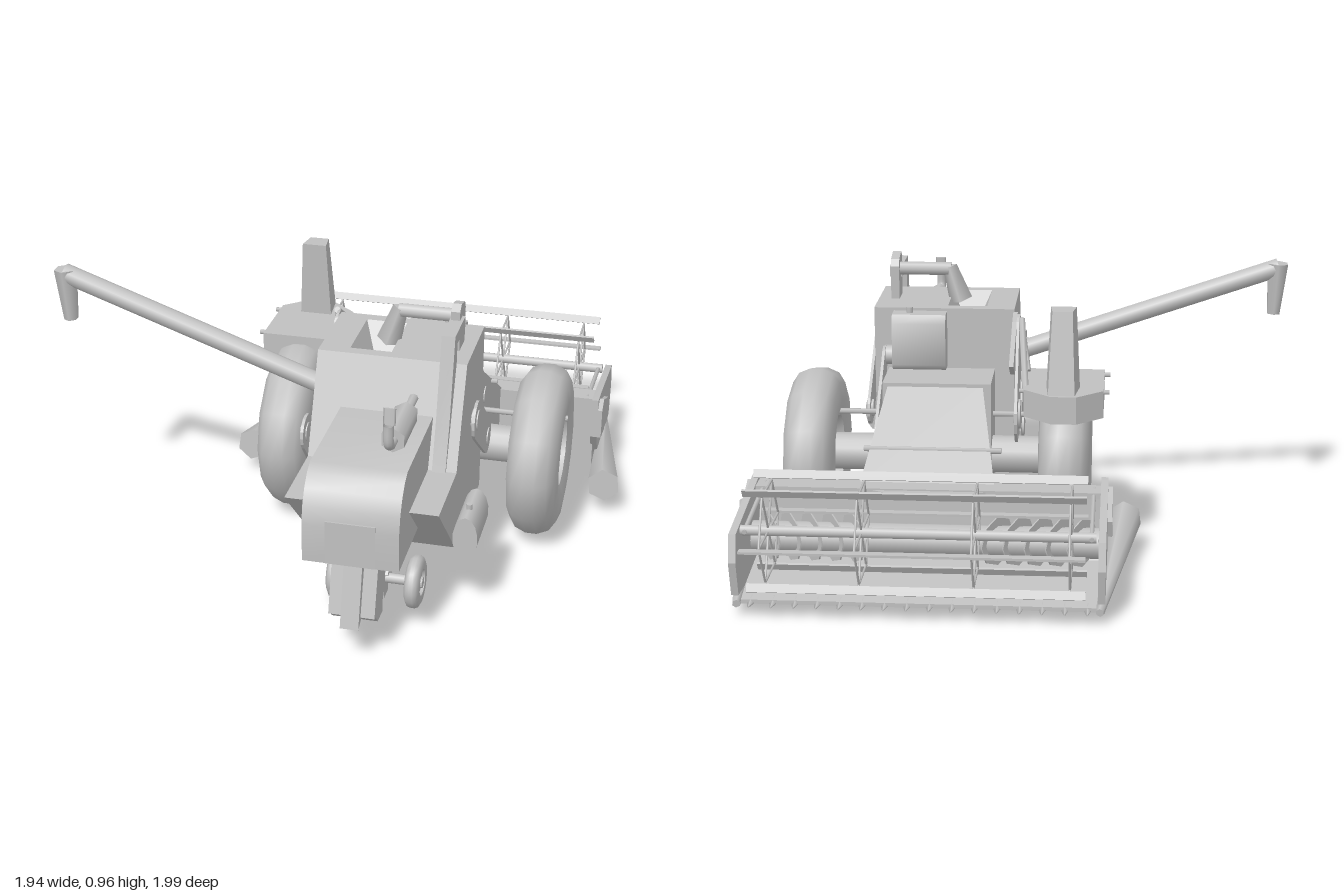
import * as THREE from 'three';
import { toCreasedNormals } from 'three/addons/utils/BufferGeometryUtils.js';

const V = (x, y, z) => new THREE.Vector3(x, y, z);
const MID = 0.255; // centre plane of the header

export function createModel() {
  const root = new THREE.Group();
  const grey = new THREE.MeshStandardMaterial({ color: 0xc0c0c0, side: THREE.DoubleSide });
  grey.name = 'light grey';

  const add = (name, geo, parent = root) => {
    const m = new THREE.Mesh(geo, grey);
    m.name = name;
    parent.add(m);
    return m;
  };
  const box = (name, x0, x1, y0, y1, z0, z1, parent) => {
    const m = add(name, new THREE.BoxGeometry(x1 - x0, y1 - y0, z1 - z0), parent);
    m.position.set((x0 + x1) / 2, (y0 + y1) / 2, (z0 + z1) / 2);
    return m;
  };
  const shapeOf = (pts) => new THREE.Shape(pts.map((p) => new THREE.Vector2(p[0], p[1])));
  // Side profile of [z, y] points, extruded from x0 to x1
  const side = (name, pts, x0, x1, crease = 0.1) => {
    const g = new THREE.ExtrudeGeometry(shapeOf(pts), { depth: x1 - x0, bevelEnabled: false });
    const m = add(name, toCreasedNormals(g, crease));
    m.rotation.y = -Math.PI / 2;
    m.position.x = x1;
    return m;
  };
  // Plan outline of [x, z] points (optional hole), extruded from y0 to y1
  const plan = (name, pts, y0, y1, hole) => {
    const s = shapeOf(pts);
    if (hole) s.holes.push(shapeOf(hole));
    const m = add(name, new THREE.ExtrudeGeometry(s, { depth: y1 - y0, bevelEnabled: false }));
    m.rotation.x = Math.PI / 2;
    m.position.y = y1;
    return m;
  };
  // Straight round or tapered bar between two points
  const rod = (name, a, b, r0, r1 = r0, seg = 8, parent) => {
    const m = add(name, new THREE.CylinderGeometry(r1, r0, a.distanceTo(b), seg), parent);
    m.position.copy(a).lerp(b, 0.5);
    m.quaternion.setFromUnitVectors(V(0, 1, 0), b.clone().sub(a).normalize());
    return m;
  };
  const tube = (name, pts, r) => add(name, new THREE.TubeGeometry(new THREE.CatmullRomCurve3(pts), 14, r, 8));
  // Loft between two rectangles given as [x0, x1, y0, y1, z]
  const loft = (name, a, b) => {
    const g = new THREE.BoxGeometry(1, 1, 1).toNonIndexed();
    const p = g.attributes.position;
    for (let i = 0; i < p.count; i++) {
      const q = p.getZ(i) > 0 ? a : b;
      p.setXYZ(i, q[p.getX(i) > 0 ? 1 : 0], q[p.getY(i) > 0 ? 3 : 2], q[4]);
    }
    g.computeVertexNormals();
    return add(name, g);
  };
  const wheel = (name, x, y, z, half, seg) => {
    const pts = half.concat(half.slice().reverse().map(([r, w]) => [r, -w]));
    const g = new THREE.LatheGeometry(pts.map((p) => new THREE.Vector2(p[0], p[1])), seg);
    const m = add(name, toCreasedNormals(g, 0.75));
    m.rotation.z = Math.PI / 2;
    m.position.set(x, y, z);
  };

  // Threshing body and grain tank with a pyramidal hopper
  side('body', [[0.07, 0.2], [0.52, 0.2], [0.82, 0.485], [0.53, 0.485], [0.39, 0.81], [0.38, 0.81], [0.38, 0.62], [0.07, 0.62]], 0, 0.5);
  plan('grainTank', [[0, 0.07], [0.5, 0.07], [0.5, 0.38], [0, 0.38]], 0.62, 0.81,
    [[0.1, 0.11], [0.1, 0.35], [0.24, 0.35], [0.24, 0.11]]);
  const hopper = new THREE.ConeGeometry(Math.SQRT1_2, 0.15, 4, 1, true).rotateY(Math.PI / 4).rotateX(Math.PI);
  hopper.scale(0.14, 1, 0.24);
  add('hopper', toCreasedNormals(hopper, 0.1)).position.set(0.17, 0.735, 0.23);

  // Straw hood and its rear grille
  side('strawHood', [[0.4, 0.35], [0.96, 0.35], [0.963, 0.48], [0.95, 0.54], [0.925, 0.588], [0.89, 0.625], [0.85, 0.645], [0.4, 0.645]], 0.095, 0.405, 0.7);
  box('grille', 0.17, 0.33, 0.352, 0.5, 0.955, 0.9645);
  // Straw spreader: slanted, staggered vanes
  [[0.18, 0.225, 0.03], [0.225, 0.285, 0], [0.285, 0.33, 0.03]].forEach(([x0, x1, d]) =>
    side('strawSpreader', [[0.79, 0.36], [0.94 - d, 0.36], [0.995 - d, 0.14 + d], [0.945, 0.165], [0.92, 0.135],
      [0.85, 0.1 + d], [0.855, 0.165], [0.83, 0.2]], x0, x1));

  // Folded elevator duct and the pipe over the tank
  side('elevatorDuct', [[0.54, 0.485], [0.49, 0.64], [0.425, 0.92], [0.25, 0.92], [0.25, 0.88], [0.385, 0.88], [0.39, 0.8], [0.5, 0.485]], 0.42, 0.465);
  side('elevatorHead', [[0.2, 0.8], [0.29, 0.8], [0.295, 0.95], [0.27, 0.97], [0.21, 0.955], [0.195, 0.93]], 0.425, 0.455);
  rod('fillingPipe', V(0.24, 0.915, 0.24), V(0.43, 0.915, 0.24), 0.024);
  rod('fillingSpout', V(0.205, 0.8, 0.24), V(0.245, 0.925, 0.24), 0.042, 0.026, 4);

  // Exhaust
  rod('muffler', V(0.335, 0.695, 0.555), V(0.335, 0.695, 0.75), 0.042, 0.042, 6);
  rod('exhaustPipe', V(0.335, 0.695, 0.44), V(0.335, 0.695, 0.56), 0.016);
  tube('exhaustStack', [V(0.335, 0.695, 0.74), V(0.335, 0.697, 0.785), V(0.335, 0.715, 0.81), V(0.335, 0.78, 0.815)], 0.017);
  const cap = rod('rainCap', V(0.335, 0.775, 0.803), V(0.335, 0.83, 0.797), 0.02, 0.02, 8);
  cap.scale.z = 0.2;

  // Unloading auger with its drop spout
  rod('unloadingAuger', V(0.05, 0.59, 0.25), V(-0.94, 0.935, 0.25), 0.034, 0.034, 12);
  rod('augerSpout', V(-0.925, 0.765, 0.25), V(-0.935, 0.95, 0.25), 0.025, 0.04, 6);

  // Side fuel tank
  const tank = rod('fuelTank', V(0.553, 0.307, 0.435), V(0.553, 0.307, 0.64), 0.078, 0.078, 14);
  tank.scale.x = 0.53;
  rod('fuelCap', V(0.553, 0.37, 0.57), V(0.553, 0.4, 0.57), 0.01);

  // Belt drives on both flanks
  const belt = (x, z0, y0, r0, z1, y1, r1) => {
    const t = Math.atan2(y1 - y0, z1 - z0);
    const s = new THREE.Shape();
    s.absarc(z0, y0, r0, t + Math.PI / 2, t + Math.PI * 1.5, false);
    s.absarc(z1, y1, r1, t - Math.PI / 2, t + Math.PI / 2, false);
    const m = add('beltGuard', new THREE.ExtrudeGeometry(s, { depth: 0.01, bevelEnabled: false, curveSegments: 4 }));
    m.rotation.y = -Math.PI / 2;
    m.position.x = x;
    rod('pulley', V(x - 0.018, y0, z0), V(x + 0.004, y0, z0), r0 * 0.55, r0 * 0.55, 8);
    rod('pulley', V(x - 0.018, y1, z1), V(x + 0.004, y1, z1), r1 * 0.55, r1 * 0.55, 8);
  };
  belt(0.533, 0.34, 0.59, 0.066, 0.12, 0.42, 0.06);
  belt(-0.008, 0.5, 0.56, 0.06, 0.26, 0.32, 0.08);
  belt(-0.012, 0.04, 0.75, 0.05, -0.05, 0.46, 0.1);
  belt(0.465, 0.03, 0.64, 0.04, -0.2, 0.42, 0.06);

  // Engine on the tank's front wall
  side('engine', [[0.08, 0.6], [0.01, 0.6], [-0.005, 0.62], [-0.005, 0.77], [0.01, 0.8], [0.08, 0.8]], 0.24, 0.43, 1);
  rod('enginePulley', V(0.43, 0.645, 0.04), V(0.46, 0.645, 0.04), 0.035, 0.035, 10);
  rod('engineFilter', V(0.37, 0.77, 0.045), V(0.37, 0.82, 0.045), 0.012);
  // Braces from the body to the driver's platform
  rod('platformBrace', V(-0.03, 0.79, 0.01), V(-0.06, 0.62, -0.29), 0.012, 0.012, 6);
  rod('platformBrace', V(-0.03, 0.78, 0), V(-0.06, 0.64, -0.12), 0.01, 0.01, 6);
  side('platformBracket', [[0.07, 0.8], [0.01, 0.78], [-0.18, 0.67], [-0.1, 0.62], [0.07, 0.62]], -0.012, 0.004);

  // Throat and feeder house
  box('throat', 0.07, 0.45, 0.24, 0.59, -0.13, 0.08);
  loft('feederHouse', [0.1, 0.43, 0.26, 0.585, -0.12], [0.035, 0.49, 0.1, 0.33, -0.45]);
  rod('feederCrossbar', V(0.02, 0.415, -0.33), V(0.49, 0.415, -0.33), 0.01, 0.01, 6);

  // Driver's platform with rails and control column
  plan('driverPlatform', [[-0.325, -0.07], [-0.325, -0.33], [-0.235, -0.41], [-0.15, -0.41], [-0.055, -0.33], [-0.055, -0.07]], 0.54, 0.635);
  for (const z of [-0.31, -0.1]) rod('platformRail', V(-0.345, 0.625, z), V(-0.04, 0.625, z), 0.008, 0.008, 6);
  const column = loft('driverColumn', [-0.245, -0.13, 0.62, 0.91, -0.29], [-0.23, -0.14, 0.62, 0.91, -0.4]).geometry;
  const cp = column.attributes.position;
  for (let i = 0; i < cp.count; i++) { // taper towards the top
    if (cp.getY(i) > 0.8) cp.setXYZ(i, -0.187 + (cp.getX(i) + 0.187) * 0.75, 0.91, -0.307 + (cp.getZ(i) + 0.345) * 0.65);
  }
  column.computeVertexNormals();

  // Drive wheels, axle and linkage rod
  const big = [[0, -0.06], [0.05, -0.06], [0.055, -0.03], [0.125, -0.03], [0.13, -0.075], [0.19, -0.09], [0.25, -0.083], [0.285, -0.06], [0.302, -0.02]];
  wheel('driveWheel', -0.19, 0.31, -0.043, big, 12);
  wheel('driveWheel', 0.697, 0.31, -0.043, big, 12);
  rod('driveAxle', V(-0.17, 0.31, -0.05), V(0.67, 0.31, -0.05), 0.066, 0.066, 14);
  rod('countershaft', V(-0.25, 0.45, -0.02), V(0.79, 0.45, -0.02), 0.01, 0.01, 6);

  // Steering wheels and axle
  const small = [[0, -0.026], [0.018, -0.026], [0.02, -0.014], [0.042, -0.014], [0.045, -0.024], [0.07, -0.025], [0.085, -0.017], [0.09, -0.006]];
  for (const x of [0.12, 0.385]) wheel('steeringWheel', x, 0.1, 0.602, small, 16);
  rod('steeringAxle', V(0.12, 0.1, 0.6), V(0.385, 0.1, 0.6), 0.018);
  box('steeringPost', 0.22, 0.285, 0.035, 0.17, 0.57, 0.63);
  side('steeringBracket', [[0.46, 0.2], [0.54, 0.22], [0.62, 0.12], [0.57, 0.08]], 0.21, 0.295);

  // Header trough with an upright back wall
  side('headerTrough', [[-0.43, 0.335], [-0.51, 0.335], [-0.51, 0.315], [-0.45, 0.31], [-0.455, 0.16], [-0.52, 0.1], [-0.83, 0.062], [-0.83, 0.048], [-0.43, 0.06]], -0.33, 0.84);
  for (let i = 0; i < 16; i++) {
    const x = -0.29 + i * 0.0725;
    rod('knifeTooth', V(x, 0.05, -0.8), V(x, 0.052, -0.868), 0.018, 0.003, 4);
  }
  // Feed auger with slanted flights towards both ends, and a deflector in the middle
  rod('feedAuger', V(-0.32, 0.19, -0.59), V(0.83, 0.19, -0.59), 0.052, 0.052, 12);
  plan('feedDeflector', [[0.06, -0.47], [0.06, -0.51], [0.13, -0.54], [0.38, -0.54], [0.44, -0.51], [0.44, -0.47]], 0.315, 0.33);
  for (const s of [-1, 1]) {
    for (let i = 0; i < 5; i++) {
      const flight = add('augerFlight', new THREE.CylinderGeometry(0.085, 0.085, 0.005, 8));
      flight.position.set(MID + s * (0.24 + i * 0.07), 0.19, -0.59);
      flight.rotation.set(0, s * 0.6, Math.PI / 2);
    }
    // Header end plates, gear cover, crop dividers and reel arms
    const x = MID + s * 0.59;
    side('headerEnd', [[-0.39, 0.35], [-0.46, 0.345], [-0.84, 0.29], [-0.865, 0.2], [-0.84, 0.08], [-0.5, 0.06], [-0.39, 0.2]], x - 0.012, x + 0.012);
    side('gearCover', [[-0.39, 0.2], [-0.39, 0.31], [-0.44, 0.335], [-0.52, 0.3], [-0.6, 0.27], [-0.58, 0.21], [-0.5, 0.18]], x + s * 0.016 - 0.012, x + s * 0.016 + 0.012);
    rod('cropDivider', V(MID + s * 0.66, 0.125, -0.165), V(MID + s * 0.585, 0.055, -0.85), 0.06, 0.014, 6);
    rod('reelArm', V(MID + s * 0.555, 0.33, -0.45), V(MID + s * 0.555, 0.29, -0.82), 0.008, 0.008, 6);
  }

  // Reel: six radial bats on four spoked frames
  const reel = new THREE.Group();
  reel.name = 'reel';
  reel.position.set(MID, 0.29, -0.8);
  root.add(reel);
  rod('reelShaft', V(-0.57, 0, 0), V(0.57, 0, 0), 0.018, 0.018, 8, reel);
  const at = (x, i, r) => V(x, Math.sin(i * Math.PI / 3) * r, Math.cos(i * Math.PI / 3) * r);
  for (let i = 0; i < 6; i++) {
    const bat = box('reelBat', -0.54, 0.54, -0.004, 0.004, -0.014, 0.014, reel);
    bat.position.copy(at(0, i, 0.185));
    bat.rotation.x = -i * Math.PI / 3;
    for (const x of [-0.49, -0.185, 0.18, 0.48]) {
      rod('reelSpoke', V(x, 0, 0), at(x, i, 0.19), 0.004, 0.004, 5, reel);
      rod('reelRim', at(x, i, 0.165), at(x, i + 1, 0.165), 0.004, 0.004, 5, reel);
    }
  }
  return root;
}
